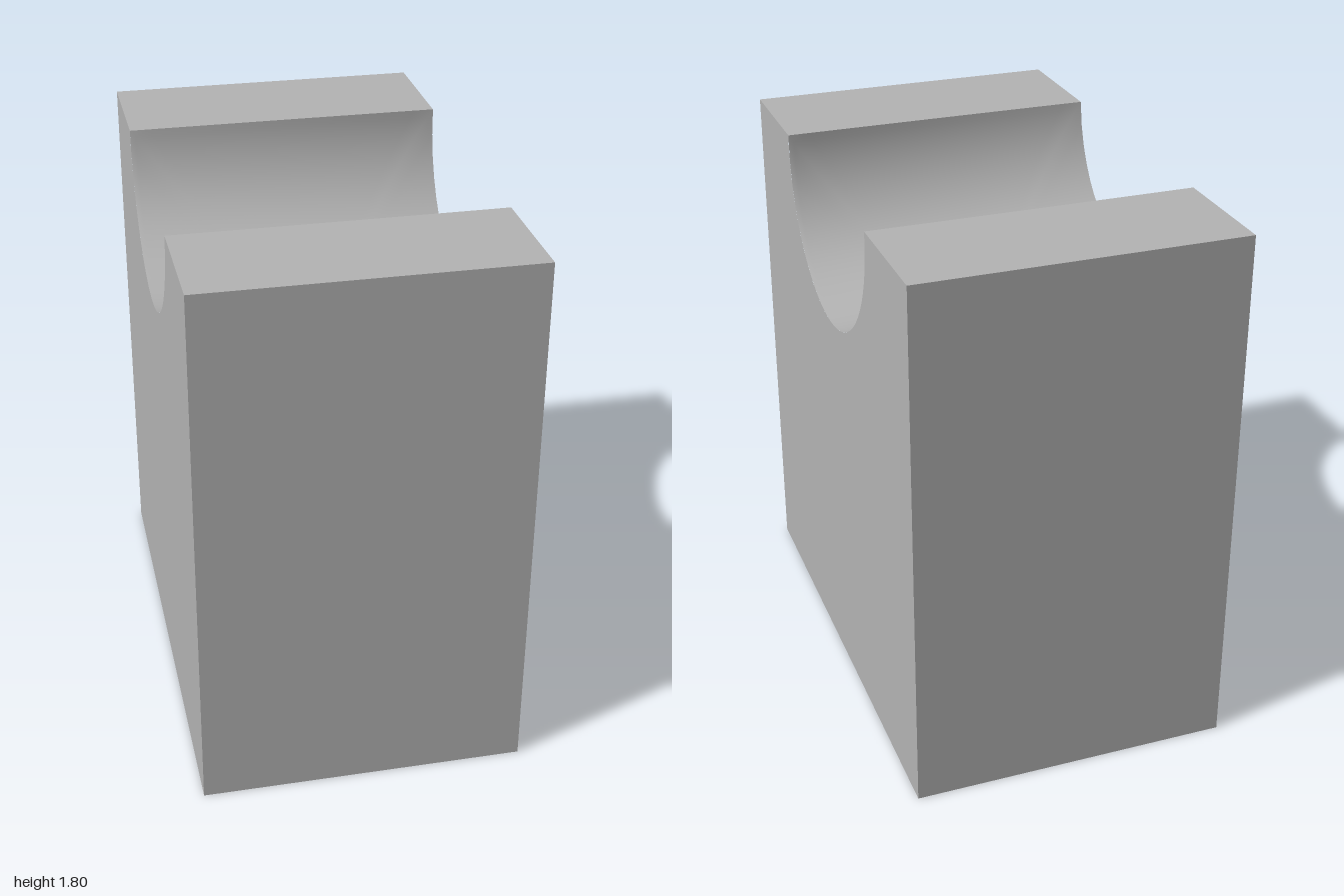
import * as THREE from 'three';
import { mergeGeometries, toCreasedNormals } from 'three/addons/utils/BufferGeometryUtils.js';

const HALF_X = 0.532, HALF_Z = 0.8645, HEIGHT = 1.8;
const GROOVE_R = 0.453, BORE_R = 0.22, TILT = 0.062;

// Groove: a cylinder along x whose axis dips slightly towards +x
const axisY = (x) => HEIGHT - TILT * x;
const rimAngle = (x) => Math.acos((axisY(x) - HEIGHT) / GROOVE_R);
const rimZ = (x) => GROOVE_R * Math.sin(rimAngle(x));
const groovePoint = (x, s) => {
  const a = s * rimAngle(x);
  return [x, axisY(x) - GROOVE_R * Math.cos(a), GROOVE_R * Math.sin(a)];
};

// Grid surface from fn(p, q); it faces along dp x dq
function surface(fn, np, nq) {
  const pos = [], index = [];
  for (let j = 0; j <= nq; j++)
    for (let i = 0; i <= np; i++) pos.push(...fn(i / np, j / nq));
  for (let j = 0; j < nq; j++)
    for (let i = 0; i < np; i++) {
      const a = j * (np + 1) + i, b = a + 1, c = a + np + 1, d = c + 1;
      index.push(a, b, d, a, d, c);
    }
  const g = new THREE.BufferGeometry();
  g.setAttribute('position', new THREE.Float32BufferAttribute(pos, 3));
  g.setIndex(index);
  g.computeVertexNormals();
  return g;
}

// Flat end wall with the groove cut out of its top edge
function endWall(side) {
  const x = side * HALF_X;
  const shape = new THREE.Shape();
  shape.moveTo(-HALF_Z, 0);
  shape.lineTo(HALF_Z, 0);
  shape.lineTo(HALF_Z, HEIGHT);
  for (let i = 0; i <= 48; i++) {
    const [, y, z] = groovePoint(x, 1 - i / 24);
    shape.lineTo(z, y);
  }
  shape.lineTo(-HALF_Z, HEIGHT);
  return new THREE.ShapeGeometry(shape).rotateY(side * Math.PI / 2).translate(x, 0, 0);
}

// Long side wall
function sideWall(side) {
  return new THREE.PlaneGeometry(2 * HALF_X, HEIGHT)
    .rotateY(side > 0 ? 0 : Math.PI)
    .translate(0, HEIGHT / 2, side * HALF_Z);
}

// Flat land on top, beside the groove
function topLand(side) {
  return surface((p, q) => {
    const x = HALF_X * (2 * q - 1);
    const z = THREE.MathUtils.lerp(rimZ(x), HALF_Z, side > 0 ? p : 1 - p);
    return [x, HEIGHT, side * z];
  }, 1, 12);
}

// Underside with the bore opening
function underside() {
  const shape = new THREE.Shape();
  shape.moveTo(-HALF_X, -HALF_Z);
  shape.lineTo(HALF_X, -HALF_Z);
  shape.lineTo(HALF_X, HALF_Z);
  shape.lineTo(-HALF_X, HALF_Z);
  const hole = new THREE.Path();
  hole.absarc(0, 0, BORE_R, 0, Math.PI * 2, true);
  shape.holes.push(hole);
  return new THREE.ShapeGeometry(shape, 48).rotateX(Math.PI / 2);
}

// Groove position (x, s) on the bore's rim at angle t
function boreRim(t) {
  const x = BORE_R * Math.cos(t);
  return [x, Math.asin(BORE_R * Math.sin(t) / GROOVE_R) / rimAngle(x)];
}

// Groove surface, spreading from the bore rim to the groove's four edges
function grooveSurface() {
  return surface((p, q) => {
    const t = p * Math.PI * 2, c = Math.cos(t), s = Math.sin(t);
    const m = Math.max(Math.abs(c), Math.abs(s));
    const [x0, s0] = boreRim(t);
    return groovePoint(
      THREE.MathUtils.lerp(x0, HALF_X * c / m, q),
      THREE.MathUtils.lerp(s0, s / m, q));
  }, 96, 20);
}

// Vertical bore wall, from the underside up to the groove
function boreWall() {
  return surface((p, q) => {
    const t = p * Math.PI * 2;
    const [x, y, z] = groovePoint(...boreRim(t));
    return [x, y * q, z];
  }, 96, 1);
}

export function createModel() {
  const grey = new THREE.MeshStandardMaterial({ color: 0xb4b4b4 });
  grey.name = 'grey';

  const model = new THREE.Group();
  model.name = 'cradleBlock';
  const add = (name, geometry) => {
    const mesh = new THREE.Mesh(toCreasedNormals(geometry, Math.PI / 6), grey);
    mesh.name = name;
    model.add(mesh);
  };

  const faces = [underside()];
  for (const side of [-1, 1]) faces.push(endWall(side), sideWall(side), topLand(side));
  faces.forEach((g) => g.deleteAttribute('uv'));
  add('block', mergeGeometries(faces));
  add('groove', grooveSurface());
  add('bore', boreWall());

  // The block stands turned about the vertical
  model.rotation.y = 0.374;
  return model;
}
